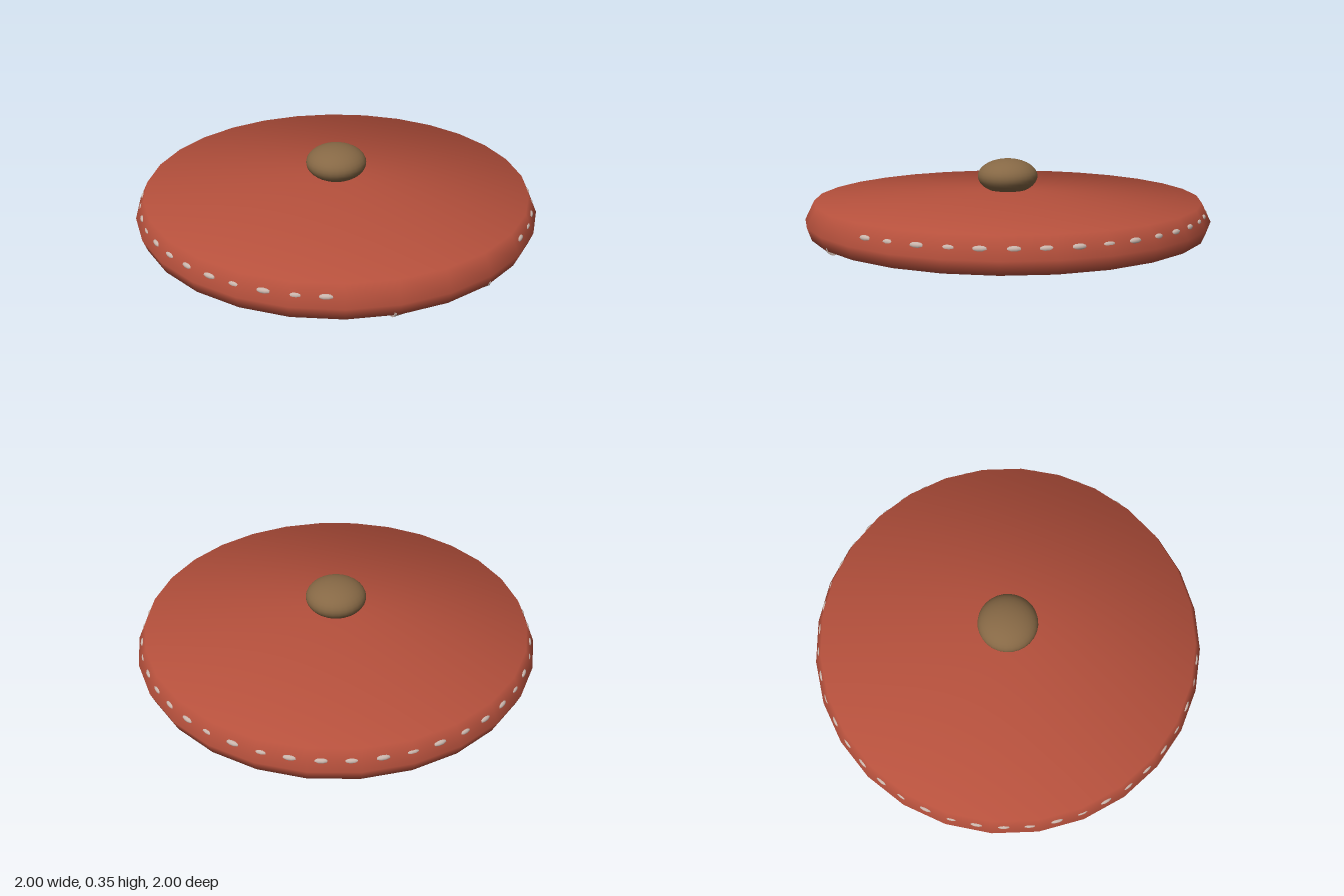
import * as THREE from 'three';

export function createModel() {
  const model = new THREE.Group();
  const mat = (name, color) => {
    const m = new THREE.MeshStandardMaterial({ color });
    m.name = name;
    return m;
  };
  const red = mat('red felt', 0xb5503c);
  const brown = mat('brown', 0x866845);
  const grey = mat('pale grey', 0xc9b5ac);

  const add = (name, geometry, material, parent = model) => {
    const mesh = new THREE.Mesh(geometry, material);
    mesh.name = name;
    parent.add(mesh);
    return mesh;
  };

  // Body: flat disc with a shallow cone on top, each ring's normal shared by its neighbours
  const profile = [[0, 0.02], [0.98, 0.02], [1, 0.08], [0.955, 0.17], [0, 0.2]];
  const tilts = [180, 142, 84, 34, 0]; // normal tilt from straight up, in degrees
  const sides = 28;
  const body = new THREE.LatheGeometry(profile.map(([r, y]) => new THREE.Vector2(r, y)), sides);
  for (let i = 0; i <= sides; i++) {
    const a = (i / sides) * Math.PI * 2;
    tilts.forEach((deg, j) => {
      const t = THREE.MathUtils.degToRad(deg);
      body.attributes.normal.setXYZ(i * tilts.length + j,
        Math.sin(t) * Math.sin(a), Math.cos(t), Math.sin(t) * Math.cos(a));
    });
  }
  add('body', body, red);

  // Oval knob on top
  const knob = add('knob', new THREE.SphereGeometry(0.152, 28, 18), brown);
  knob.scale.y = 0.58;
  knob.position.y = 0.266;

  // Lining patch, barely domed, under the body
  const lining = add('lining', new THREE.SphereGeometry(0.557, 40, 12), grey);
  lining.scale.y = 0.02;
  lining.position.y = 0.02;

  // Round bar tucked under the front edge
  const bar = add('frontBar', new THREE.CylinderGeometry(0.03, 0.03, 0.48, 12), grey);
  bar.rotation.z = Math.PI / 2;
  bar.position.set(0, 0.03, 0.925);

  // Stitches around the rim, left out at the front
  const stitches = new THREE.Group();
  stitches.name = 'stitches';
  model.add(stitches);
  const stitchGeo = new THREE.SphereGeometry(1, 10, 6);
  const count = 48;
  for (let i = 4; i <= count - 4; i++) {
    const a = (i / count) * Math.PI * 2;
    const stitch = add('stitch', stitchGeo, grey, stitches);
    stitch.scale.set(0.033, 0.013, 0.012);
    stitch.position.set(0.969 * Math.sin(a), 0.12, 0.969 * Math.cos(a));
    stitch.rotation.y = a;
  }
  return model;
}
